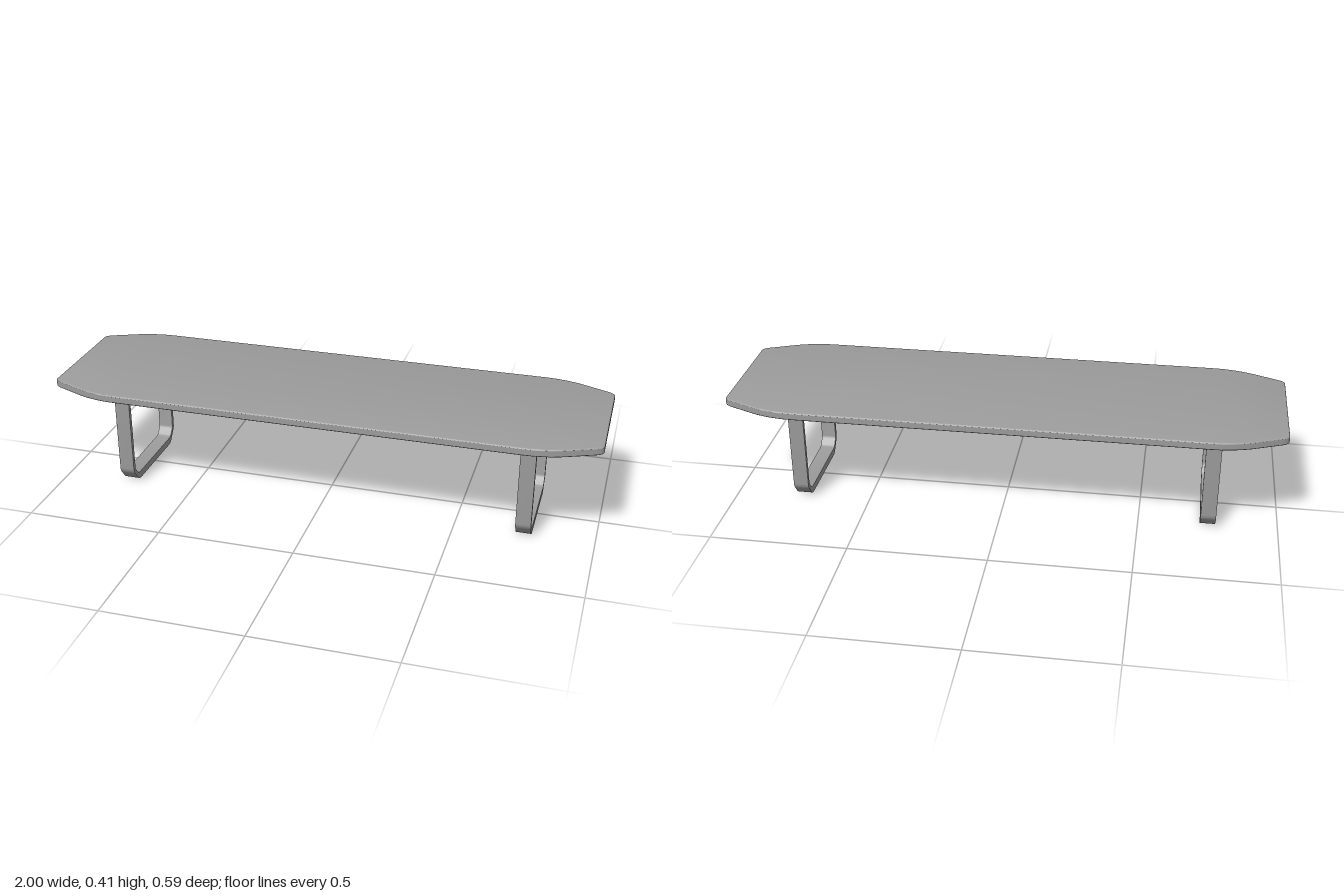
import * as THREE from 'three';
import { toCreasedNormals } from 'three/addons/utils/BufferGeometryUtils.js';

const TOP_Y = 0.412, THICK = 0.028, BEVEL = 0.005;
const LEG_X = 0.75, LEG_WIDTH = 0.055;

// Tapered outline of the top, with curved shoulders and small rounded corners
function topShape() {
  const s = new THREE.Shape();
  s.moveTo(-0.73, -0.297);
  s.lineTo(0.73, -0.297);
  s.quadraticCurveTo(0.81, -0.297, 0.88, -0.27);
  s.lineTo(0.975, -0.23);
  s.quadraticCurveTo(1, -0.219, 1, -0.205);
  s.lineTo(1, 0.205);
  s.quadraticCurveTo(1, 0.219, 0.975, 0.23);
  s.lineTo(0.88, 0.27);
  s.quadraticCurveTo(0.81, 0.297, 0.73, 0.297);
  s.lineTo(-0.73, 0.297);
  s.quadraticCurveTo(-0.81, 0.297, -0.88, 0.27);
  s.lineTo(-0.975, 0.23);
  s.quadraticCurveTo(-1, 0.219, -1, 0.205);
  s.lineTo(-1, -0.205);
  s.quadraticCurveTo(-1, -0.219, -0.975, -0.23);
  s.lineTo(-0.88, -0.27);
  s.quadraticCurveTo(-0.81, -0.297, -0.73, -0.297);
  return s;
}

// U-shaped flat band: outer edge down and across, inner edge back
function legShape() {
  const y = TOP_Y - THICK + 0.002;
  const s = new THREE.Shape();
  s.moveTo(-0.198, y);
  s.lineTo(-0.198, 0.065);
  s.quadraticCurveTo(-0.198, 0.052, -0.19, 0.042);
  s.lineTo(-0.167, 0.014);
  s.quadraticCurveTo(-0.156, 0, -0.138, 0);
  s.lineTo(0.138, 0);
  s.quadraticCurveTo(0.156, 0, 0.167, 0.014);
  s.lineTo(0.19, 0.042);
  s.quadraticCurveTo(0.198, 0.052, 0.198, 0.065);
  s.lineTo(0.198, y);
  s.lineTo(0.183, y);
  s.lineTo(0.183, 0.065);
  s.quadraticCurveTo(0.183, 0.058, 0.177, 0.051);
  s.lineTo(0.166, 0.037);
  s.quadraticCurveTo(0.157, 0.027, 0.143, 0.027);
  s.lineTo(-0.143, 0.027);
  s.quadraticCurveTo(-0.157, 0.027, -0.166, 0.037);
  s.lineTo(-0.177, 0.051);
  s.quadraticCurveTo(-0.183, 0.058, -0.183, 0.065);
  s.lineTo(-0.183, y);
  s.closePath();
  return s;
}

export function createModel() {
  const group = new THREE.Group();
  group.name = 'bench';
  const grey = new THREE.MeshStandardMaterial({ color: 0x9c9c9c });
  grey.name = 'grey';

  // Top slab with softly rounded rims
  const slab = new THREE.ExtrudeGeometry(topShape(), {
    depth: THICK - 2 * BEVEL, curveSegments: 10,
    bevelEnabled: true, bevelThickness: BEVEL, bevelSize: BEVEL, bevelOffset: -BEVEL, bevelSegments: 3,
  });
  slab.translate(0, 0, -(THICK / 2 - BEVEL));
  slab.rotateX(Math.PI / 2);
  const top = new THREE.Mesh(toCreasedNormals(slab, 0.6), grey);
  top.name = 'top';
  top.position.y = TOP_Y - THICK / 2;
  group.add(top);

  // A pair of matching leg frames
  const band = new THREE.ExtrudeGeometry(legShape(), { depth: LEG_WIDTH, bevelEnabled: false, curveSegments: 8 });
  band.translate(0, 0, -LEG_WIDTH / 2);
  band.rotateY(Math.PI / 2);
  const legGeometry = toCreasedNormals(band, 0.6);
  for (const side of [1, -1]) {
    const leg = new THREE.Mesh(legGeometry, grey);
    leg.name = side > 0 ? 'leftLeg' : 'rightLeg';
    leg.position.x = side * LEG_X;
    group.add(leg);
  }
  return group;
}
